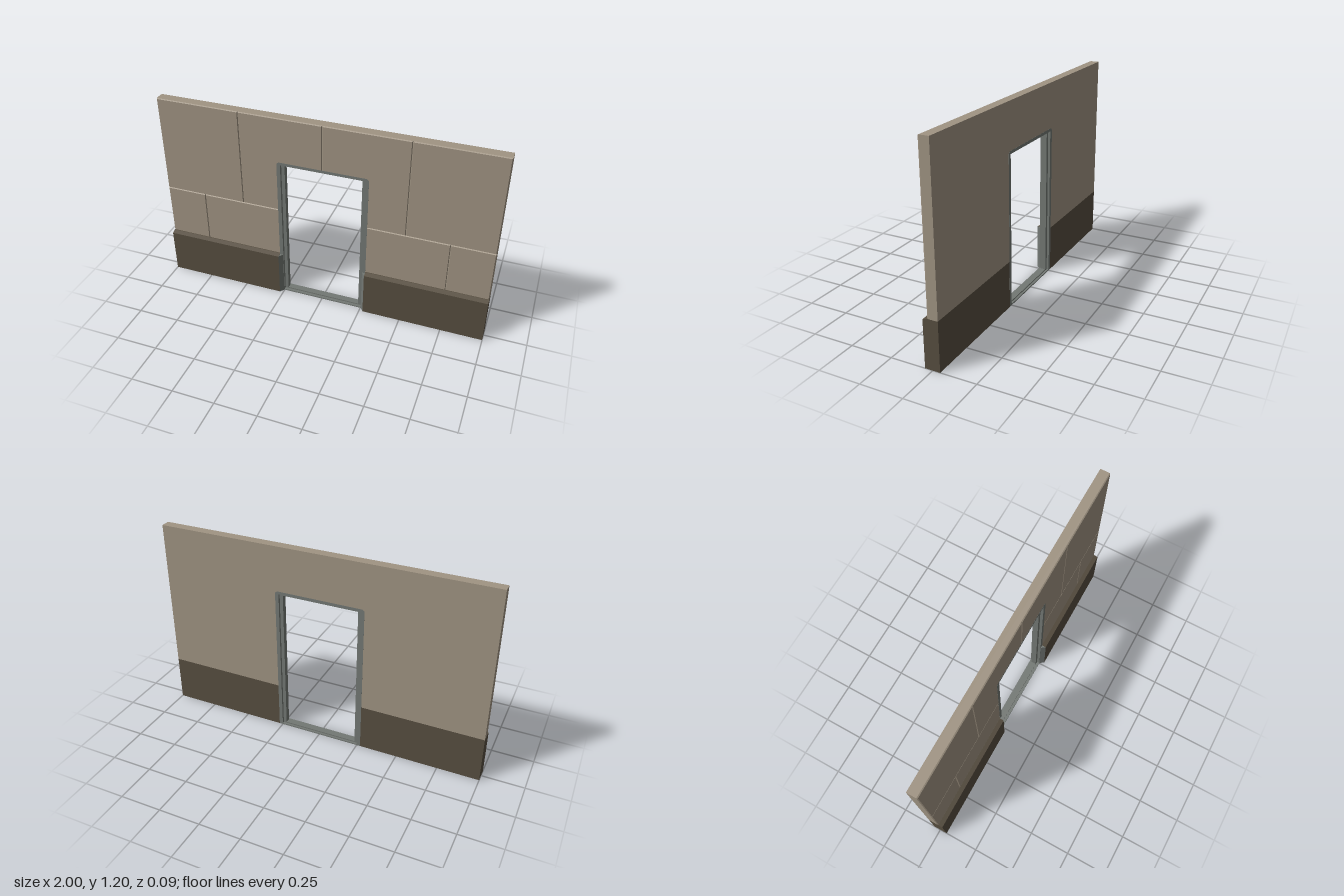
import * as THREE from 'three';

const BACK = -0.043, FACE = 0.019, BASE_TOP = 0.285;

function polygon(points) {
  return new THREE.Shape(points.map(([x, y]) => new THREE.Vector2(x, y)));
}

// Flat slab cut from a shape, spanning z0 to z1
function slab(shape, z0, z1) {
  const g = new THREE.ExtrudeGeometry(shape, { depth: z1 - z0, bevelEnabled: false });
  return g.translate(0, 0, z0);
}

export function createModel() {
  const stone = new THREE.MeshStandardMaterial({ color: 0xa09483 });
  const plinth = new THREE.MeshStandardMaterial({ color: 0x574e40 });
  const metal = new THREE.MeshStandardMaterial({ color: 0x737874 });
  stone.name = 'warm stone';
  plinth.name = 'dark plinth';
  metal.name = 'grey metal';

  const model = new THREE.Group();
  model.name = 'wallWithDoorway';
  const add = (name, geometry, material) => {
    const mesh = new THREE.Mesh(geometry, material);
    mesh.name = name;
    model.add(mesh);
    return mesh;
  };

  // Wall core, forming the floor of the panel joints
  add('wallCore', slab(polygon([
    [-1, BASE_TOP], [-0.262, BASE_TOP], [-0.262, 0.917], [0.262, 0.917],
    [0.262, BASE_TOP], [1, BASE_TOP], [1, 1.2], [-1, 1.2],
  ]), BACK, 0.013), stone);

  // Facing panels with chamfered edges
  const bevel = 0.004;
  const panel = (name, points) => {
    const g = new THREE.ExtrudeGeometry(polygon(points), {
      depth: 0.004, bevelThickness: 0.006, bevelSize: bevel, bevelOffset: -bevel, bevelSegments: 1,
    });
    add(name, g.translate(0, 0, FACE - 0.01), stone);
  };
  for (const s of [-1, 1]) {
    const mirrored = (pts) => pts.map(([x, y]) => [x * s, y]);
    const rect = (x0, x1, y0, y1) => mirrored([[x0, y0], [x1, y0], [x1, y1], [x0, y1]]);
    panel('lowerInnerPanel', rect(0.262, 0.75, BASE_TOP, 0.605));
    panel('lowerOuterPanel', rect(0.75, 1, BASE_TOP, 0.605));
    panel('upperOuterPanel', rect(0.495, 1, 0.605, 1.2));
    panel('upperInnerPanel', mirrored([
      [0, 0.917], [0.262, 0.917], [0.262, 0.605], [0.495, 0.605], [0.495, 1.2], [0, 1.2],
    ]));

    // Projecting plinth with a sloped top
    const base = slab(polygon([
      [-BACK, 0], [-BACK, BASE_TOP], [-FACE, BASE_TOP], [-0.045, 0.276], [-0.045, 0],
    ]), 0.272, 1);
    base.rotateY(Math.PI / 2);
    if (s < 0) base.translate(-1.272, 0, 0);
    add('plinth', base, plinth);

    // Splayed metal cheek closing the plinth at the doorway
    const cheek = slab(polygon(mirrored([[0.252, -FACE], [0.272, -FACE], [0.272, -0.045]])), 0, 0.278);
    add('plinthCheek', cheek.rotateX(-Math.PI / 2), metal);
  }

  // Door surround with clipped upper corners
  add('doorSurround', slab(polygon([
    [-0.272, 0], [-0.25, 0], [-0.25, 0.91], [0.25, 0.91], [0.25, 0], [0.272, 0],
    [0.272, 0.915], [0.26, 0.927], [-0.26, 0.927], [-0.272, 0.915],
  ]), BACK - 0.0006, FACE + 0.0006), metal);

  // Recessed inner jamb ring
  const ring = polygon([[-0.25, 0], [0.25, 0], [0.25, 0.91], [-0.25, 0.91]]);
  ring.holes.push(polygon([[-0.23, 0.014], [-0.23, 0.9], [0.23, 0.9], [0.23, 0.014]]));
  add('doorJamb', slab(ring, -0.03, 0.002), metal);

  // Low threshold across the doorway
  const sill = new THREE.BoxGeometry(0.5, 0.007, FACE - BACK);
  add('threshold', sill.translate(0, 0.0035, (FACE + BACK) / 2), metal);

  return model;
}
